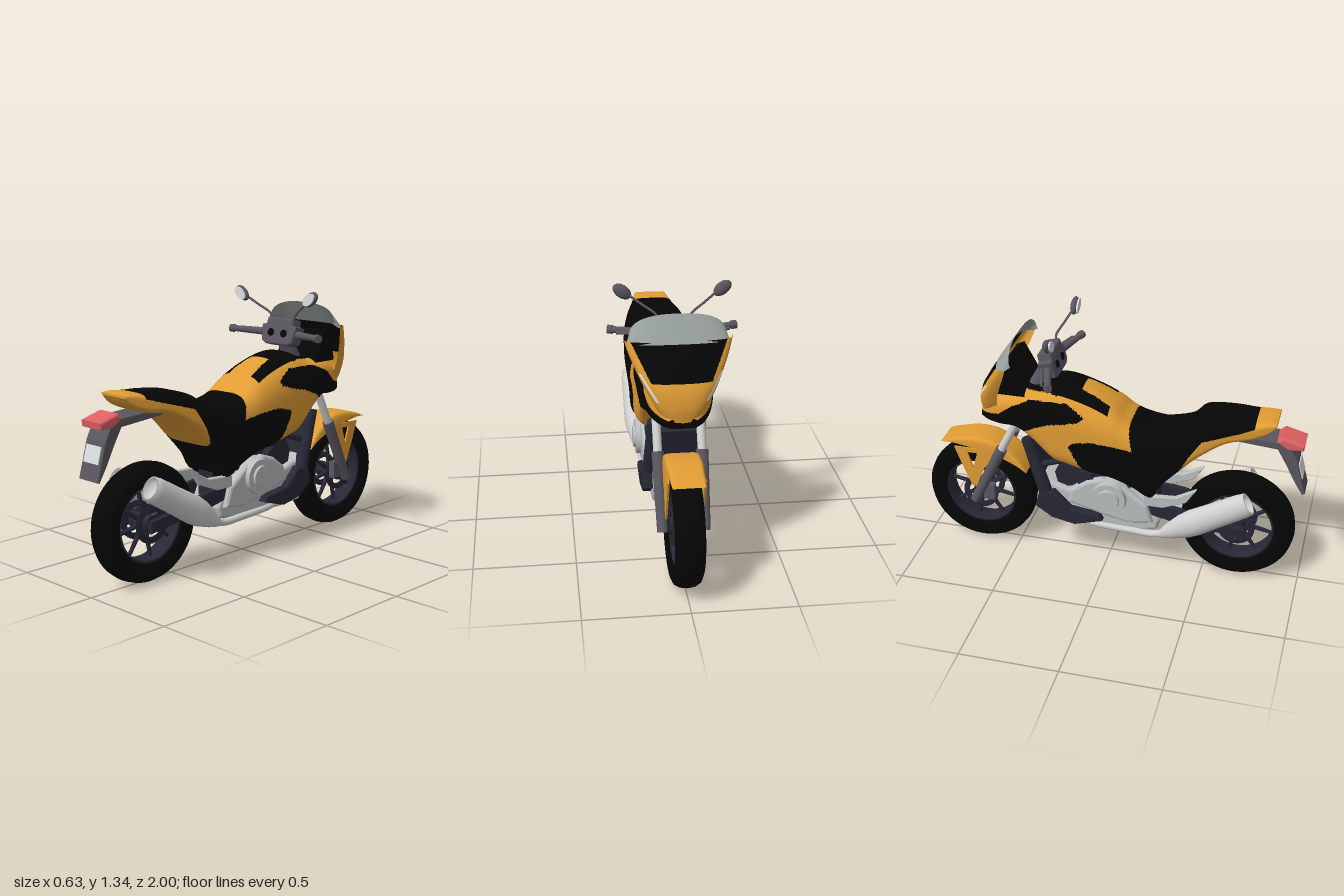
import * as THREE from 'three';

const mat = (name, color, side = THREE.FrontSide) => {
  const m = new THREE.MeshStandardMaterial({ color, side });
  m.name = name;
  return m;
};

export function createModel() {
  const model = new THREE.Group();
  model.name = 'motorcycle';
  const D = THREE.DoubleSide;
  const yellow = mat('yellow paint', 0xe09c34, D), black = mat('black', 0x060606, D);
  const navy = mat('dark metal', 0x282836), grey = mat('grey plastic', 0x5a5660);
  const silver = mat('engine silver', 0xbabebe), steel = mat('exhaust steel', 0xd0d0d0);
  const glass = mat('screen grey', 0x98a09e, D), white = mat('pale lens', 0xdadede);
  const red = mat('tail red', 0xde6064);
  const V = (x, y, z) => new THREE.Vector3(x, y, z);

  const add = (name, geo, material, x = 0, y = 0, z = 0, parent = model) => {
    const m = new THREE.Mesh(geo, material);
    m.name = name;
    m.position.set(x, y, z);
    parent.add(m);
    return m;
  };
  const box = (name, m, w, h, d, x, y, z) => add(name, new THREE.BoxGeometry(w, h, d), m, x, y, z);
  const rod = (name, m, a, b, r1, r2 = r1, parent = model) => {
    const dir = b.clone().sub(a), c = a.clone().add(b).multiplyScalar(0.5);
    const o = add(name, new THREE.CylinderGeometry(r2, r1, dir.length(), 20), m, c.x, c.y, c.z, parent);
    o.quaternion.setFromUnitVectors(V(0, 1, 0), dir.normalize());
    return o;
  };
  const tube = (name, m, pts, r) =>
    add(name, new THREE.TubeGeometry(new THREE.CatmullRomCurve3(pts), 32, r, 12), m);
  const extrude = (outline, thick, bevel, hole) => {
    const v2 = (l) => l.map(([a, b]) => new THREE.Vector2(a, b));
    const s = new THREE.Shape(v2(outline));
    if (hole) s.holes.push(new THREE.Path(v2(hole)));
    const g = new THREE.ExtrudeGeometry(s, { depth: thick - 2 * bevel, bevelEnabled: bevel > 0, bevelSize: bevel, bevelThickness: bevel, bevelOffset: -bevel, bevelSegments: 3 });
    return g.translate(0, 0, bevel - thick / 2);
  };
  // Plate cut from a [z, y] outline, with its thickness along x
  const plate = (name, m, outline, thick, x = 0, hole = null, bevel = 0) =>
    add(name, extrude(outline, thick, bevel, hole).rotateY(-Math.PI / 2), m, x);
  // Smooth surface from a rule fn(u, v), each triangle painted by paint(x, y, z)
  const surface = (name, nu, nv, fn, mats, paint = () => 0) => {
    const pos = [], idx = mats.map(() => []);
    for (let i = 0; i <= nu; i++) for (let j = 0; j <= nv; j++) pos.push(...fn(i / nu, j / nv));
    const W = nv + 1;
    for (let i = 0; i < nu; i++) for (let j = 0; j < nv; j++) {
      const a = i * W + j, b = a + W, c = a + 1, d = b + 1;
      for (const t of [[a, c, b], [c, d, b]]) {
        const p = [0, 1, 2].map((k) => (pos[t[0] * 3 + k] + pos[t[1] * 3 + k] + pos[t[2] * 3 + k]) / 3);
        idx[paint(...p)].push(...t);
      }
    }
    const g = new THREE.BufferGeometry();
    g.setAttribute('position', new THREE.Float32BufferAttribute(pos, 3));
    g.setIndex(idx.flat());
    let start = 0;
    idx.forEach((l, k) => { g.addGroup(start, l.length, k); start += l.length; });
    g.computeVertexNormals();
    return add(name, g, mats);
  };
  const inside = (poly, z, y) => {
    let r = false;
    poly.forEach(([z1, y1], i) => {
      const [z2, y2] = poly[(i + 1) % poly.length];
      if ((y1 > y) !== (y2 > y) && z < ((z2 - z1) * (y - y1)) / (y2 - y1) + z1) r = !r;
    });
    return r;
  };
  const spow = (v, e) => Math.sign(v) * Math.abs(v) ** e;

  // Body: tail, seat, tank and flanks; rows are z, top, bottom, half width, roundness
  const rows = [
    [0.84, 0.94, 0.925, 0.085, 0.5], [0.8, 0.945, 0.88, 0.095, 0.5], [0.72, 0.935, 0.845, 0.115, 0.5],
    [0.6, 0.925, 0.82, 0.147, 0.5], [0.47, 0.905, 0.73, 0.176, 0.55], [0.4, 0.84, 0.66, 0.18, 0.5],
    [0.29, 0.815, 0.53, 0.17, 0.45], [0.238, 0.818, 0.445, 0.168, 0.45], [0.15, 0.838, 0.49, 0.17, 0.5],
    [0.09, 0.87, 0.52, 0.177, 0.6], [0.03, 0.92, 0.54, 0.182, 0.7], [-0.07, 0.976, 0.555, 0.184, 0.8],
    [-0.19, 1.013, 0.585, 0.184, 0.8], [-0.27, 1.018, 0.61, 0.18, 0.8], [-0.36, 0.985, 0.7, 0.175, 0.75],
    [-0.45, 0.97, 0.767, 0.17, 0.7], [-0.55, 0.94, 0.765, 0.145, 0.7], [-0.62, 0.88, 0.765, 0.11, 0.7],
    [-0.665, 0.82, 0.77, 0.07, 0.7]];
  const spine = new THREE.CatmullRomCurve3(rows.map((r) => V(r[0], r[1], r[2])), false, 'catmullrom');
  const girth = new THREE.CatmullRomCurve3(rows.map((r) => V(r[3], r[4], 0)), false, 'catmullrom');
  const seatArea = [[0.74, 1], [0.12, 0.95], [0.12, 0.848], [0.147, 0.735], [0.05, 0.755], [-0.07, 0.765], [-0.16, 0.745],
    [-0.175, 0.725], [-0.14, 0.65], [-0.1, 0.565], [-0.1, 0.4], [0.33, 0.4], [0.38, 0.65], [0.43, 0.75], [0.49, 0.842], [0.68, 0.896], [0.74, 0.915]];
  const sideArea = [[-0.1, 0.89], [-0.14, 0.92], [-0.19, 0.95], [-0.38, 0.945], [-0.47, 0.905], [-0.55, 0.84], [-0.7, 0.8],
    [-0.7, 0.7], [-0.446, 0.75], [-0.36, 0.8], [-0.286, 0.83], [-0.19, 0.85], [-0.12, 0.87]];
  const N = 260;
  surface('body', N, 140, (u, v) => {
    const t = Math.min(1, Math.max(0, (u - 1 / N) / (1 - 2 / N)));
    const p = spine.getPoint(t), q = girth.getPoint(t), a = v * Math.PI * 2;
    const s = Math.sin(a), c = Math.cos(a), n = 2 / (c > 0 ? q.y : 0.4);
    const k = u === 0 || u === 1 ? 0 : (Math.abs(s) ** n + Math.abs(c) ** n) ** (-1 / n);
    return [k * q.x * s, (p.y + p.z) / 2 + k * ((p.y - p.z) / 2) * c, p.x];
  }, [yellow, black], (x, y, z) => {
    const ax = Math.abs(x);
    if (inside(seatArea, z, y) || inside(sideArea, z, y)) return 1;
    // horseshoe panel on the tank top
    const outer = 0.13 - 0.3 * Math.max(0, -0.25 - z), inner = 0.06 + (z + 0.14) * 0.12;
    return y > 0.86 && z < 0.015 && z > -0.45 && ax < outer && !(z > -0.135 && ax < inner) ? 1 : 0;
  });

  // Front cowl; rows are height, nose z, half width, rear edge z
  const cowlRows = [[0.8, -0.668, 0.085, -0.58], [0.87, -0.672, 0.13, -0.56], [0.95, -0.655, 0.172, -0.54],
    [1.03, -0.612, 0.21, -0.51], [1.09, -0.575, 0.235, -0.485], [1.145, -0.54, 0.252, -0.465]];
  const cowlA = new THREE.CatmullRomCurve3(cowlRows.map((r) => V(r[0], r[1], r[2])));
  const cowlB = new THREE.CatmullRomCurve3(cowlRows.map((r) => V(r[3], 0, 0)));
  const cowlPoint = (u, a, out = 0) => {
    const p = cowlA.getPoint(u), back = cowlB.getPoint(u).x;
    return [-(p.z + out) * spow(Math.sin(a), 0.8), p.x, back + (p.y - back - out) * Math.abs(Math.cos(a)) ** 0.55];
  };
  surface('frontCowl', 70, 100, (u, v) => cowlPoint(u, (v - 0.5) * Math.PI), [yellow, black], (x, y) =>
    (y > 0.98 && Math.abs(x) < 0.14 + (y - 0.98) * 0.5 ? 1 : 0));
  for (const s of [-1, 1])
    surface('headlight', 16, 4, (u, v) => cowlPoint(0.27 + 0.3 * u, s * (0.78 + 0.3 * u) + (v - 0.5) * 0.15, 0.005), [white]);
  surface('windscreen', 12, 40, (u, v) => {
    const k = 2 * v - 1, a = (k * Math.PI) / 2, c = Math.abs(Math.cos(a)) ** 0.55;
    const top = 1.255 - 0.1 * k ** 2;
    return [-(0.236 - 0.012 * u) * spow(Math.sin(a), 0.8), 1.135 + (top - 1.135) * u, -0.475 + 0.03 * u - (0.073 - 0.055 * u) * c];
  }, [glass]);
  plate('dashPanel', black, [[-0.49, 1.12], [-0.53, 1.1], [-0.56, 0.95], [-0.41, 0.95], [-0.42, 0.99]], 0.27);

  // Wheels
  const lathe = (pts, seg) => new THREE.LatheGeometry(pts.map(([r, y]) => new THREE.Vector2(r, y)), seg).rotateZ(Math.PI / 2);
  const wheel = (name, z) => {
    const g = new THREE.Group();
    g.name = name;
    g.position.set(0, 0.295, z);
    model.add(g);
    add('tire', lathe([[0.19, -0.05], [0.215, -0.062], [0.25, -0.071], [0.275, -0.06], [0.29, -0.035], [0.295, 0],
      [0.29, 0.035], [0.275, 0.06], [0.25, 0.071], [0.215, 0.062], [0.19, 0.05], [0.19, -0.05]], 64), black, 0, 0, 0, g);
    add('rim', lathe([[0.182, -0.05], [0.196, -0.052], [0.196, 0.052], [0.182, 0.05], [0.178, 0], [0.182, -0.05]], 64), navy, 0, 0, 0, g);
    add('hub', new THREE.CylinderGeometry(0.042, 0.042, 0.13, 24).rotateZ(Math.PI / 2), navy, 0, 0, 0, g);
    for (let i = 0; i < 8; i++) {
      const a = (i * Math.PI) / 4 + 0.2;
      rod('spoke', navy, V(0, 0.03 * Math.cos(a), 0.03 * Math.sin(a)), V(0, 0.188 * Math.cos(a), 0.188 * Math.sin(a)), 0.013, 0.009, g);
    }
    for (const s of [-1, 1])
      add('brakeDisc', lathe([[0.065, -0.004], [0.095, -0.004], [0.095, 0.004], [0.065, 0.004], [0.065, -0.004]], 40), navy, s * 0.055, 0, 0, g);
  };
  wheel('rearWheel', 0.67);
  wheel('frontWheel', -0.703);

  // Front mudguard
  surface('frontFender', 40, 28, (u, v) => {
    const a = -1.0 + u * 1.6, k = 2 * v - 1;
    const r = 0.318 + 0.024 * Math.min(1, u * 2) - 0.065 * k ** 6 * Math.sin(Math.PI * u) + 0.06 * Math.max(0, u - 0.8);
    const w = 0.088 - 0.04 * Math.max(0, u - 0.7);
    return [w * spow(Math.sin((k * Math.PI) / 2), 0.9), 0.295 + r * Math.cos(a), -0.703 - r * Math.sin(a)];
  }, [yellow]);

  // Engine, tail and seat underside on the centre line
  plate('engineBlock', silver, [[0.28, 0.3], [0.22, 0.42], [0.05, 0.48], [-0.12, 0.48], [-0.2, 0.42], [-0.36, 0.47], [-0.38, 0.32],
    [-0.33, 0.225], [-0.18, 0.215], [0.2, 0.225], [0.27, 0.25]], 0.22, 0, null, 0.02);
  plate('cylinderHead', navy, [[0.12, 0.46], [0.1, 0.57], [-0.22, 0.61], [-0.28, 0.5], [-0.26, 0.42]], 0.16);
  box('radiator', navy, 0.2, 0.2, 0.04, 0, 0.56, -0.39).rotation.x = -0.25;
  box('shockMount', navy, 0.1, 0.2, 0.1, 0, 0.42, 0.21);
  plate('rearMudguard', grey, [[0.6, 0.85], [0.9, 0.835], [0.95, 0.74], [1.0, 0.56], [0.985, 0.555], [0.945, 0.62], [0.893, 0.72],
    [0.85, 0.795], [0.6, 0.815]], 0.135, 0, null, 0.006);
  box('numberPlate', white, 0.105, 0.083, 0.008, 0, 0.678, 0.968).rotation.x = -0.27;
  plate('tailLight', red, [[0.84, 0.835], [0.9, 0.795], [0.975, 0.8], [0.98, 0.832], [0.87, 0.862]], 0.138, 0, null, 0.012);

  // Handlebar centre
  const dash = add('instrumentPanel', extrude([[-0.085, 0.08], [-0.09, 0.045], [-0.118, 0.04], [-0.105, -0.045], [-0.075, -0.06],
    [0.075, -0.06], [0.105, -0.045], [0.118, 0.04], [0.09, 0.045], [0.085, 0.08]], 0.075, 0.01), grey, 0, 1.1, -0.3);
  dash.rotation.x = -0.25;
  rod('steeringStem', grey, V(0, 0.95, -0.38), V(0, 1.08, -0.32), 0.05, 0.04);
  tube('handlebar', grey, [V(-0.3, 1.11, -0.235), V(-0.12, 1.1, -0.29), V(0.12, 1.1, -0.29), V(0.3, 1.11, -0.235)], 0.014);

  for (const s of [-1, 1]) {
    // Controls and mirrors
    rod('grip', grey, V(s * 0.12, 1.105, -0.29), V(s * 0.29, 1.11, -0.238), 0.02, 0.016);
    rod('gripEnd', grey, V(s * 0.285, 1.11, -0.24), V(s * 0.308, 1.11, -0.232), 0.021);
    rod('lever', grey, V(s * 0.12, 1.11, -0.32), V(s * 0.27, 1.105, -0.275), 0.008);
    add('dial', new THREE.CylinderGeometry(0.02, 0.02, 0.008, 24).rotateX(Math.PI / 2), black, s * 0.044, 0, 0.038, dash);
    tube('mirrorStalk', grey, [V(s * 0.075, 1.17, -0.3), V(s * 0.085, 1.2, -0.305), V(s * 0.15, 1.245, -0.28), V(s * 0.21, 1.285, -0.255)], 0.006);
    const mirror = new THREE.Group();
    mirror.name = 'mirror';
    mirror.position.set(s * 0.238, 1.3, -0.25);
    mirror.rotation.z = s * 0.66;
    model.add(mirror);
    add('mirrorShell', new THREE.SphereGeometry(1, 24, 16), grey, 0, 0, 0, mirror).scale.set(0.05, 0.031, 0.021);
    const face = add('mirrorGlass', new THREE.CylinderGeometry(1, 1, 0.008, 28).rotateX(Math.PI / 2), white, 0, 0, 0.019, mirror);
    face.scale.set(0.042, 0.025, 1);

    // Front fork and mudguard brackets
    rod('forkTube', steel, V(s * 0.105, 0.79, -0.465), V(s * 0.105, 0.58, -0.57), 0.021);
    rod('forkLeg', grey, V(s * 0.105, 0.61, -0.555), V(s * 0.1, 0.27, -0.72), 0.03, 0.026);
    box('brakeCaliper', grey, 0.035, 0.09, 0.06, s * 0.09, 0.33, -0.64);
    plate('fenderBracket', yellow, [[-0.56, 0.575], [-0.825, 0.575], [-0.785, 0.465], [-0.735, 0.345], [-0.714, 0.345], [-0.665, 0.465]],
      0.009, s * 0.084, [[-0.7, 0.55], [-0.755, 0.55], [-0.727, 0.46]]);

    // Frame, engine covers and guards
    rod('frameTube', navy, V(s * 0.11, 0.7, -0.415), V(s * 0.12, 0.4, -0.32), 0.03, 0.036);
    rod('frameBrace', navy, V(s * 0.1, 0.6, -0.2), V(s * 0.1, 0.54, -0.37), 0.016);
    rod('cylinderBarrel', navy, V(s * 0.06, 0.5, -0.11), V(s * 0.12, 0.5, -0.11), 0.045);
    plate('engineGuard', navy, [[-0.01, 0.28], [-0.03, 0.31], [-0.18, 0.33], [-0.27, 0.42], [-0.35, 0.4], [-0.37, 0.32], [-0.28, 0.26],
      [-0.16, 0.235]], 0.05, s * 0.13, null, 0.012);
    rod('clutchCover', silver, V(s * 0.09, 0.425, 0.024), V(s * 0.16, 0.425, 0.024), 0.1, 0.088);
    rod('clutchCap', silver, V(s * 0.15, 0.425, 0.024), V(s * 0.172, 0.425, 0.024), 0.06, 0.055);
    plate('crankcaseCover', silver, [[0.25, 0.3], [0.22, 0.4], [0.1, 0.49], [-0.02, 0.525], [-0.1, 0.5], [-0.18, 0.44], [-0.2, 0.36],
      [-0.02, 0.31], [0.12, 0.28]], 0.05, s * 0.112, null, 0.018);
    plate('footpegBracket', silver, [[0.47, 0.53], [0.42, 0.45], [0.3, 0.4], [0.2, 0.4], [0.2, 0.46], [0.36, 0.47]], 0.03, s * 0.115, null, 0.006);
    plate('swingarm', navy, [[0.72, 0.265], [0.72, 0.325], [0.5, 0.355], [0.38, 0.39], [0.18, 0.42], [0.18, 0.345], [0.38, 0.305], [0.5, 0.295]],
      0.03, s * 0.095, null, 0.006);

    // Exhaust
    tube('exhaustPipe', steel, [V(s * 0.07, 0.27, -0.3), V(s * 0.1, 0.235, -0.1), V(s * 0.11, 0.225, 0.12), V(s * 0.115, 0.225, 0.25), V(s * 0.12, 0.25, 0.33)], 0.019);
    const pts = [[0, 0.035], [0.044, 0.035], [0.048, 0], [0.06, 0], [0.065, 0.04], [0.068, 0.2], [0.072, 0.31], [0.066, 0.37],
      [0.045, 0.45], [0.021, 0.515]].map(([r, y]) => new THREE.Vector2(r, y));
    const muffler = add('muffler', new THREE.LatheGeometry(pts, 32), steel, s * 0.123, 0.495, 0.733);
    muffler.quaternion.setFromUnitVectors(V(0, 1, 0), V(0, -0.26, -0.44).normalize());
    muffler.scale.x = 0.8;
  }
  return model;
}
